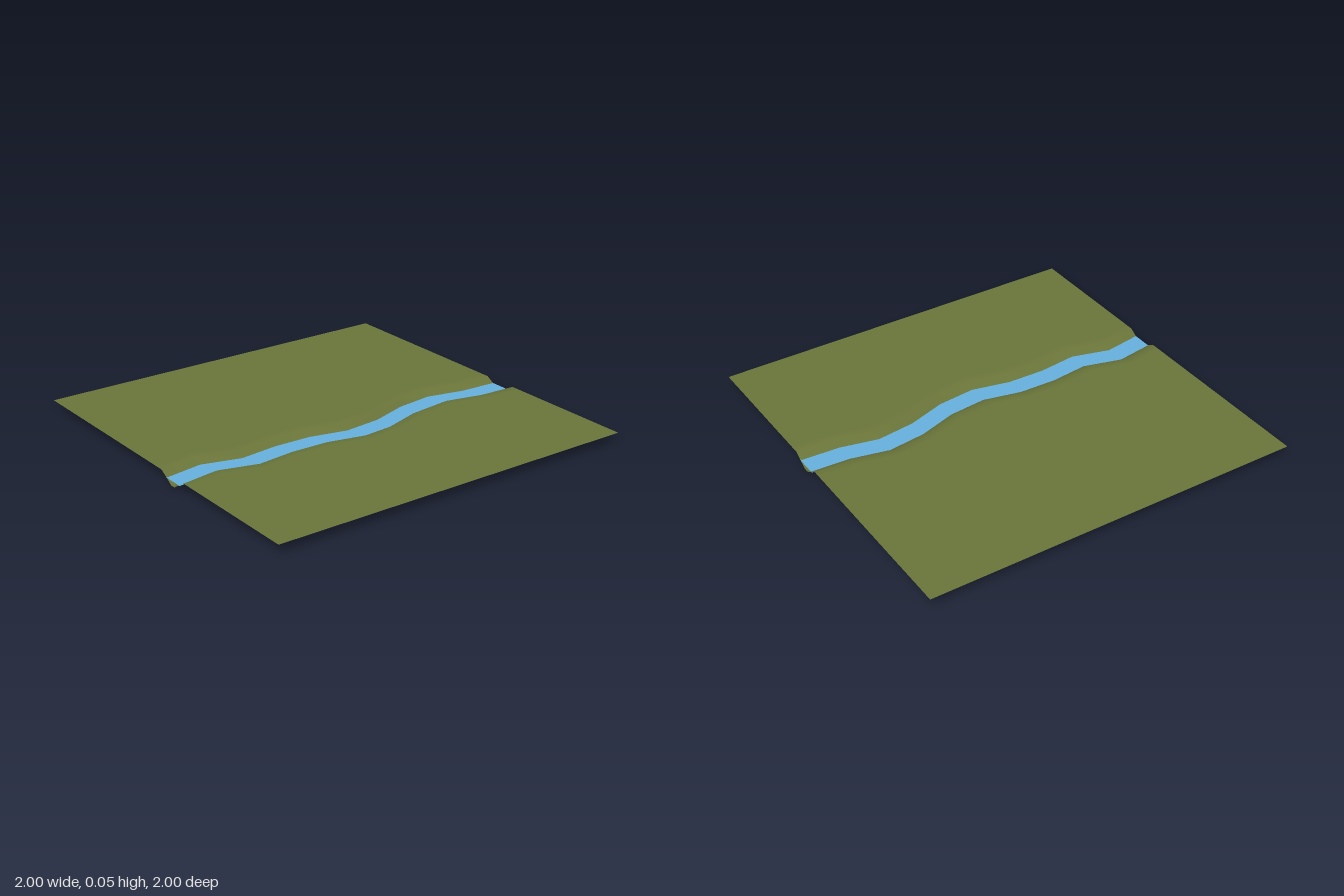
import * as THREE from 'three';

// Centre line of the stream: x at each z from -1 to 1 in steps of 0.2
const centreLine = [0.15, 0.14, 0.095, 0.12, 0.185, 0.205, 0.16, 0.155, 0.178, 0.123, 0.155];
const waterHalf = [0.055, 0.055, 0.055, 0.055, 0.055, 0.055, 0.055, 0.055, 0.049, 0.049, 0.055];

// Upward-facing sheet through equal-length cross-sections of [x, y] points
function makeSheet(name, color, sectionAt) {
  const positions = [], indices = [];
  const rows = centreLine.length;
  let n = 0;
  for (let r = 0; r < rows; r++) {
    const section = sectionAt(r);
    n = section.length;
    const z = -1 + (2 * r) / (rows - 1);
    for (const [x, y] of section) positions.push(x, y, z);
  }
  for (let r = 0; r < rows - 1; r++) {
    for (let i = 0; i < n - 1; i++) {
      const a = r * n + i, b = a + n;
      indices.push(a, b, a + 1, a + 1, b, b + 1);
    }
  }
  const geometry = new THREE.BufferGeometry();
  geometry.setAttribute('position', new THREE.Float32BufferAttribute(positions, 3));
  geometry.setIndex(indices);
  geometry.computeVertexNormals();
  const mesh = new THREE.Mesh(geometry, new THREE.MeshStandardMaterial({ color, side: THREE.DoubleSide }));
  mesh.name = name;
  return mesh;
}

export function createModel() {
  const group = new THREE.Group();
  group.name = 'streamTile';

  // Grass with a shallow sunken channel
  const bank = [[0.14, 0.05], [0.096, 0.05], [0.053, 0.025], [0.014, 0]];
  const channel = [
    ...bank.map(([x, y]) => [-x, y]),
    ...bank.slice().reverse(),
  ];
  group.add(makeSheet('ground', 0x6b763a, (r) => [
    [-1, 0.05],
    ...channel.map(([x, y]) => [centreLine[r] + x, y]),
    [1, 0.05],
  ]));

  // Water surface, tucked slightly into the banks
  group.add(makeSheet('water', 0x66b2e0, (r) => [
    [centreLine[r] - waterHalf[r] - 0.006, 0.025],
    [centreLine[r] + waterHalf[r] + 0.006, 0.025],
  ]));

  return group;
}
